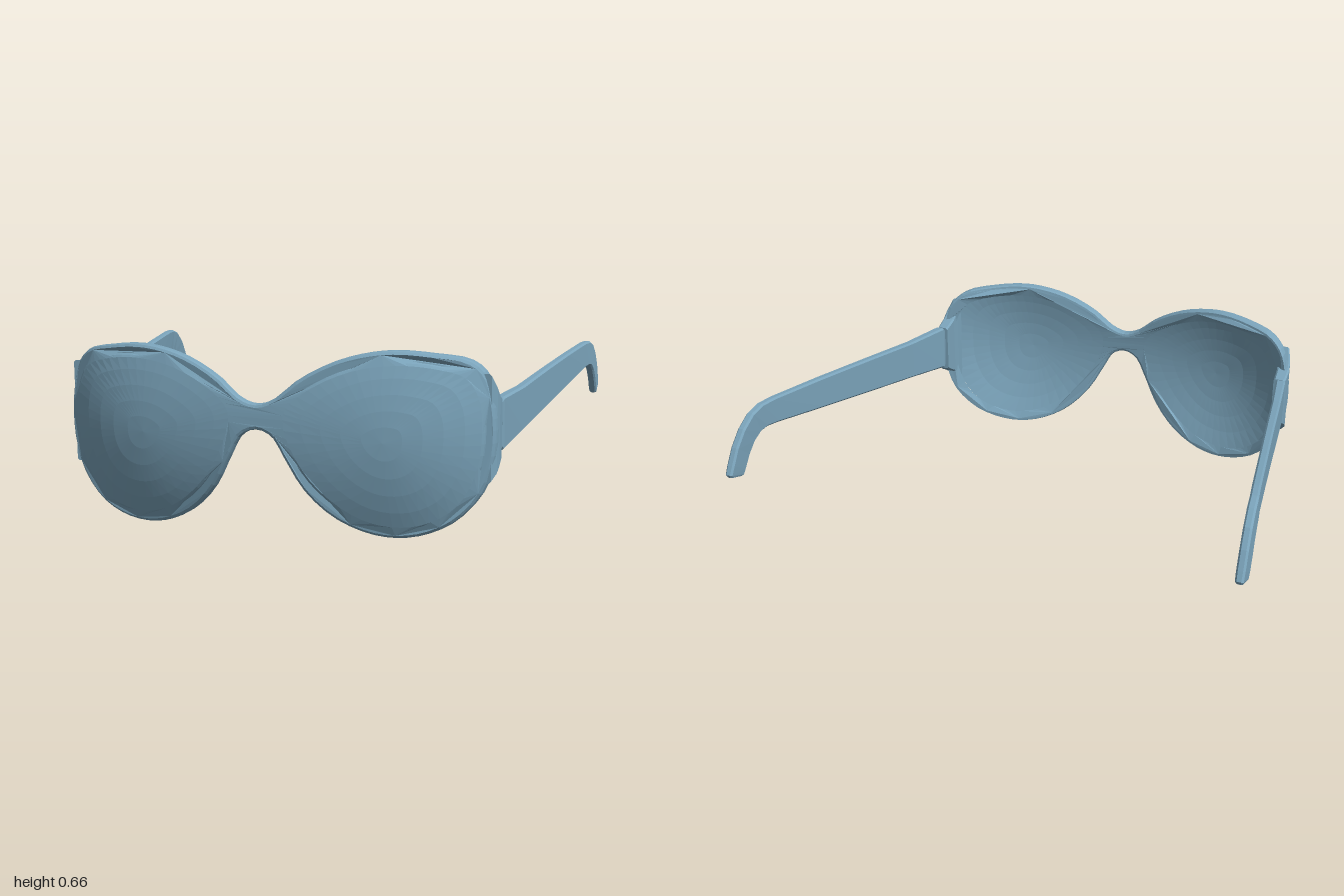
import * as THREE from 'three';

// Wrapped front surface of the eyewear: depth z at a given (x, y)
const wrap = (x, y) => 0.862 - 0.06 * x * x - 0.4 * x ** 4 - 0.6 * (y - 0.39) ** 2;

const smoothLoop = (pts, n) => {
  const curve = new THREE.CatmullRomCurve3(pts.map(([x, y]) => new THREE.Vector3(x, y, 0)), true);
  return curve.getPoints(n).slice(0, n).map((p) => new THREE.Vector2(p.x, p.y));
};

const mirrorPts = (pts) => pts.map(([x, y]) => [-x, y]).reverse();

// Skin over equal-length rings (counter-clockwise seen from +z, front to back)
function loft(rings) {
  const n = rings[0].length, pos = rings.flat(2), idx = [];
  for (let i = 0; i < rings.length - 1; i++) {
    for (let j = 0; j < n; j++) {
      const a = i * n + j, b = i * n + (j + 1) % n, c = a + n, d = b + n;
      idx.push(a, c, b, b, c, d);
    }
  }
  const last = (rings.length - 1) * n;
  for (let j = 1; j < n - 1; j++) {
    idx.push(0, j, j + 1, last, last + j + 1, last + j);
  }
  const geo = new THREE.BufferGeometry();
  geo.setAttribute('position', new THREE.Float32BufferAttribute(pos, 3));
  geo.setIndex(idx);
  geo.computeVertexNormals();
  return geo;
}

// Mirror a geometry across x = 0, keeping the faces outward
function mirrored(geo) {
  const g = geo.clone();
  g.applyMatrix4(new THREE.Matrix4().makeScale(-1, 1, 1));
  const ix = g.index.array;
  for (let i = 0; i < ix.length; i += 3) [ix[i], ix[i + 2]] = [ix[i + 2], ix[i]];
  g.computeVertexNormals();
  return g;
}

// Chamfered bar section: top (z, y), bottom (z, y), centre x, width
function barRing([zt, yt, zb, yb, x, w]) {
  const h = w / 2, c = 0.007, t = c / Math.hypot(zt - zb, yt - yb);
  const at = (dx, k) => [x + dx, yb + (yt - yb) * k, zb + (zt - zb) * k];
  return [
    at(-h + c, 0), at(h - c, 0), at(h, t), at(h, 1 - t),
    at(h - c, 1), at(-h + c, 1), at(-h, 1 - t), at(-h, t),
  ];
}

export function createModel() {
  const model = new THREE.Group();
  model.name = 'sunglasses';
  const blue = new THREE.MeshStandardMaterial({ color: 0x7ba4bb, flatShading: true });
  blue.name = 'dusty blue';
  const add = (geo, name) => {
    const mesh = new THREE.Mesh(geo, blue);
    mesh.name = name;
    model.add(mesh);
  };
  const addPair = (geo, name) => {
    add(geo, 'left' + name);
    add(mirrored(geo), 'right' + name);
  };

  // Outlines of half the frame and of one lens opening
  const outer = [
    [0, 0.47], [0.06, 0.488], [0.15, 0.56], [0.27, 0.622], [0.38, 0.652], [0.48, 0.661],
    [0.6, 0.65], [0.71, 0.628], [0.765, 0.58], [0.79, 0.5], [0.802, 0.4], [0.795, 0.28],
    [0.755, 0.16], [0.67, 0.065], [0.57, 0.017], [0.47, 0.003], [0.37, 0.02], [0.26, 0.075],
    [0.165, 0.17], [0.1, 0.285], [0.055, 0.36], [0, 0.382],
  ];
  const opening = [
    [0.086, 0.42], [0.11, 0.478], [0.21, 0.552], [0.34, 0.605], [0.48, 0.624], [0.61, 0.612],
    [0.71, 0.578], [0.758, 0.5], [0.77, 0.38], [0.752, 0.24], [0.685, 0.115], [0.58, 0.05],
    [0.46, 0.036], [0.34, 0.07], [0.21, 0.17], [0.125, 0.295],
  ];

  // Frame: bevelled plate with two openings, bent onto the wrapped surface
  const shape = new THREE.Shape(smoothLoop([...outer, ...mirrorPts(outer.slice(1, -1))], 112));
  for (const pts of [opening, mirrorPts(opening)]) {
    shape.holes.push(new THREE.Path(smoothLoop(pts, 56)));
  }
  const bevel = 0.012, depth = 0.024;
  const frame = new THREE.ExtrudeGeometry(shape, {
    depth, bevelEnabled: true, bevelThickness: bevel, bevelSize: bevel,
    bevelOffset: -bevel, bevelSegments: 2, steps: 1,
  });
  const p = frame.attributes.position;
  for (let i = 0; i < p.count; i++) {
    const x = p.getX(i), y = p.getY(i);
    p.setZ(i, wrap(x, y) + (p.getZ(i) - depth - bevel) * (1 + 0.8 * x * x));
  }
  frame.computeVertexNormals();
  add(frame, 'frame');

  // Lenses: thin curved shells, front centre to rim to back centre
  const rim = smoothLoop(opening, 48).reverse();
  const cx = 0.44, cy = 0.35;
  const lensRing = (s, inset) => rim.map((v) => {
    const x = cx + (v.x - cx) * s, y = cy + (v.y - cy) * s;
    return [x, y, wrap(x, y) - inset];
  });
  const steps = [0.001, 0.2, 0.4, 0.6, 0.8, 1.015];
  addPair(loft([
    ...steps.map((s) => lensRing(s, 0.014)),
    ...steps.slice().reverse().map((s) => lensRing(s, 0.03)),
  ]), 'Lens');

  // End pieces: flared blocks behind the outer rims
  addPair(loft([
    [0.67, 0.58, 0.66, 0.2, 0.765, 0.04],
    [0.635, 0.535, 0.63, 0.225, 0.774, 0.052],
    [0.605, 0.505, 0.605, 0.245, 0.778, 0.052],
    [0.56, 0.488, 0.56, 0.27, 0.779, 0.05],
    [0.541, 0.483, 0.541, 0.285, 0.778, 0.046],
  ].map(barRing)), 'EndPiece');

  // Temple arms: tapering bars that hook down behind the ear
  addPair(loft([
    [0.545, 0.475, 0.535, 0.305, 0.784, 0.034],
    [0.53, 0.486, 0.525, 0.296, 0.787, 0.04],
    [0.3, 0.498, 0.3, 0.333, 0.823, 0.036],
    [0, 0.53, 0, 0.381, 0.868, 0.034],
    [-0.3, 0.56, -0.3, 0.43, 0.914, 0.033],
    [-0.57, 0.583, -0.56, 0.474, 0.955, 0.032],
    [-0.64, 0.583, -0.62, 0.48, 0.966, 0.032],
    [-0.7, 0.568, -0.66, 0.474, 0.972, 0.032],
    [-0.76, 0.527, -0.7, 0.45, 0.977, 0.032],
    [-0.81, 0.47, -0.735, 0.41, 0.981, 0.032],
    [-0.845, 0.41, -0.765, 0.365, 0.983, 0.032],
    [-0.862, 0.378, -0.778, 0.346, 0.984, 0.03],
    [-0.857, 0.366, -0.787, 0.343, 0.984, 0.024],
  ].map(barRing)), 'Temple');

  return model;
}
